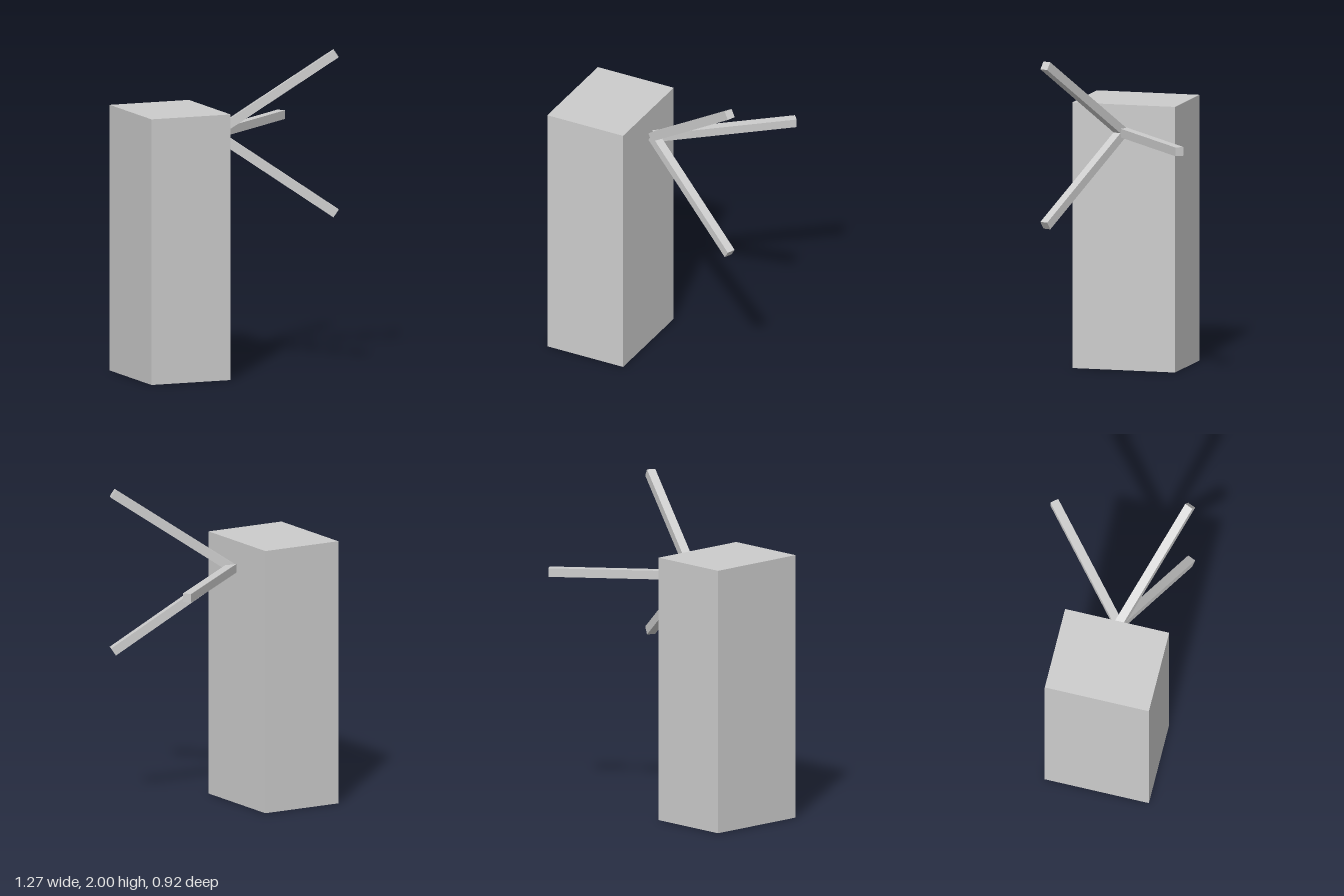
import * as THREE from 'three';

export function createModel() {
  const model = new THREE.Group();
  const grey = new THREE.MeshStandardMaterial({ color: 0xcccccc });
  grey.name = 'light grey';

  // Tall rectangular tower
  const tower = new THREE.Mesh(new THREE.BoxGeometry(0.527, 1.646, 0.657), grey);
  tower.name = 'tower';
  tower.position.set(-0.377, 0.823, 0.133);
  model.add(tower);

  // Three square bars fanning out from a hub beside the tower, 120 degrees apart
  const rotor = new THREE.Group();
  rotor.name = 'rotor';
  rotor.position.set(-0.079, 1.482, 0.133);
  const reach = 0.684, spread = 0.572;
  const length = Math.hypot(reach, spread);
  const bar = new THREE.BoxGeometry(length, 0.054, 0.054).translate(length / 2, 0, 0);
  ['backBlade', 'upperBlade', 'lowerBlade'].forEach((name, i) => {
    const angle = Math.PI + i * Math.PI * 2 / 3;
    const dz = spread * Math.cos(angle);
    const dy = -spread * Math.sin(angle);
    const blade = new THREE.Mesh(bar, grey);
    blade.name = name;
    // Yaw, then pitch, so the bar keeps two sides level
    blade.rotation.set(0, Math.atan2(-dz, reach), Math.asin(dy / length), 'YZX');
    rotor.add(blade);
  });
  model.add(rotor);

  return model;
}
